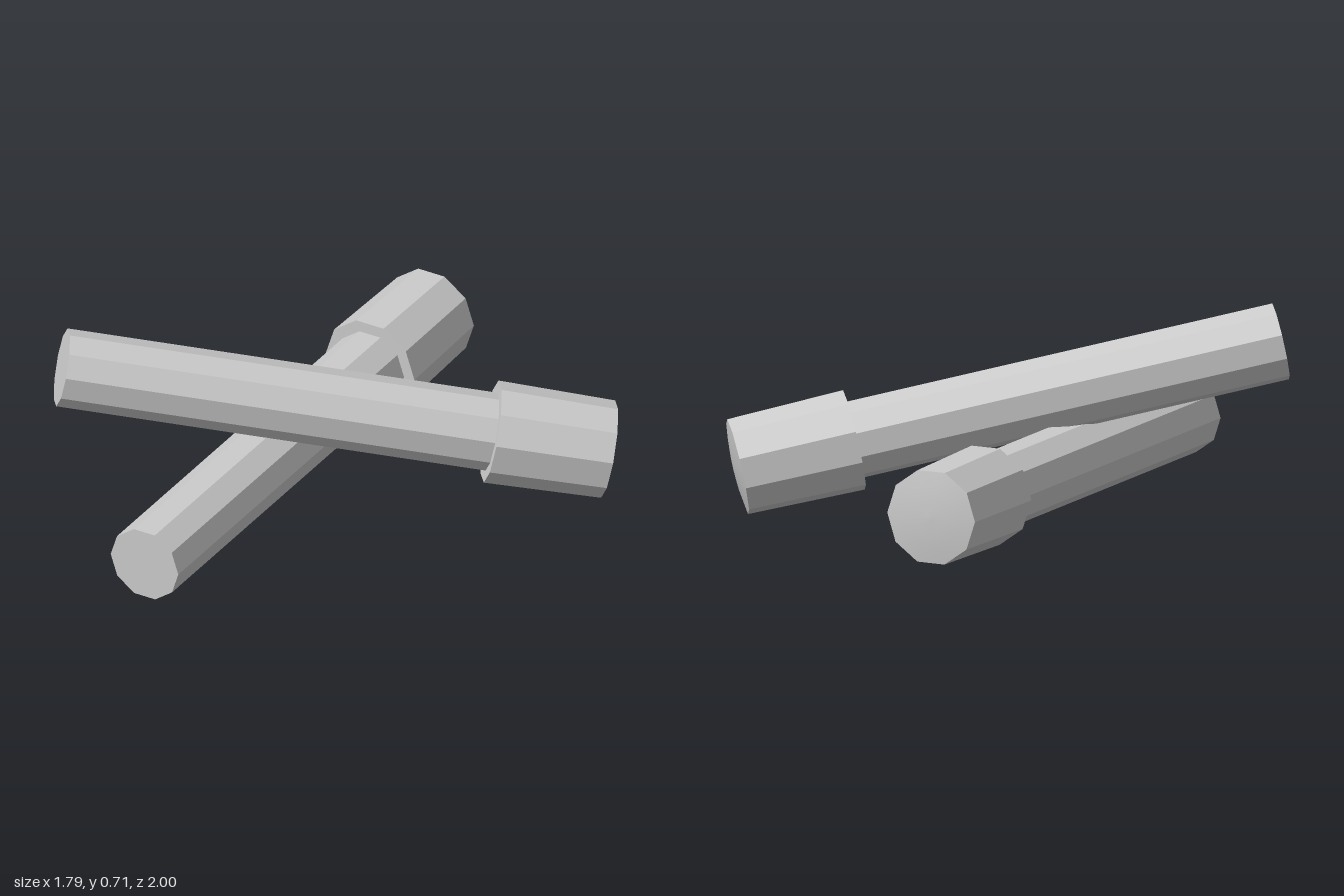
import * as THREE from 'three';

const SIDES = 10;
const ROD_R = 0.14, CAP_R = 0.1835, END_R = 0.175;
const CAP_START = 1.56, CAP_END = 1.985, DOME = 0.015;

const flat = new THREE.MeshStandardMaterial({ color: 0xcccccc, flatShading: true });
const smooth = new THREE.MeshStandardMaterial({ color: 0xcccccc });

// Ten-sided turned part along local y; profile is a list of [radius, height]
function turned(name, profile, roll, material) {
  const points = profile.map(([r, h]) => new THREE.Vector2(r, h));
  const mesh = new THREE.Mesh(new THREE.LatheGeometry(points, SIDES, roll), material);
  mesh.name = name;
  return mesh;
}

// One capped rod, laid from its tail centre towards its cap centre
function cappedRod(name, tail, head, rollDegrees) {
  const roll = THREE.MathUtils.degToRad(rollDegrees);
  const rod = new THREE.Group();
  rod.name = name;

  // Slim shaft with a flat closed tail
  rod.add(turned('shaft', [[0, 0], [ROD_R, 0], [ROD_R, CAP_START]], roll, flat));
  // Wider, slightly tapering cap with a flat shoulder
  rod.add(turned('cap', [[ROD_R, CAP_START], [CAP_R, CAP_START], [END_R, CAP_END]], roll, flat));
  // Shallow dome closing the cap
  const dome = [0, 1, 2, 3].map((i) => {
    const t = 1 - i / 3;
    return [END_R * t, CAP_END + DOME * (1 - t * t)];
  });
  rod.add(turned('domedEnd', dome, roll, smooth));

  // Local y follows the axis, local z points as far up as possible
  const axis = head.clone().sub(tail).normalize();
  const side = axis.clone().cross(new THREE.Vector3(0, 1, 0)).normalize();
  const up = side.clone().cross(axis);
  rod.quaternion.setFromRotationMatrix(new THREE.Matrix4().makeBasis(side, axis, up));
  rod.position.copy(tail);
  return rod;
}

export function createModel() {
  const model = new THREE.Group();
  model.name = 'crossedRods';
  model.add(
    cappedRod('lowerRod', new THREE.Vector3(-0.217, 0.166, 1), new THREE.Vector3(-0.217, 0.188, -0.985), 18),
    cappedRod('upperRod', new THREE.Vector3(-0.815, 0.578, 0.573), new THREE.Vector3(0.798, 0.174, -0.519), 4)
  );
  return model;
}
